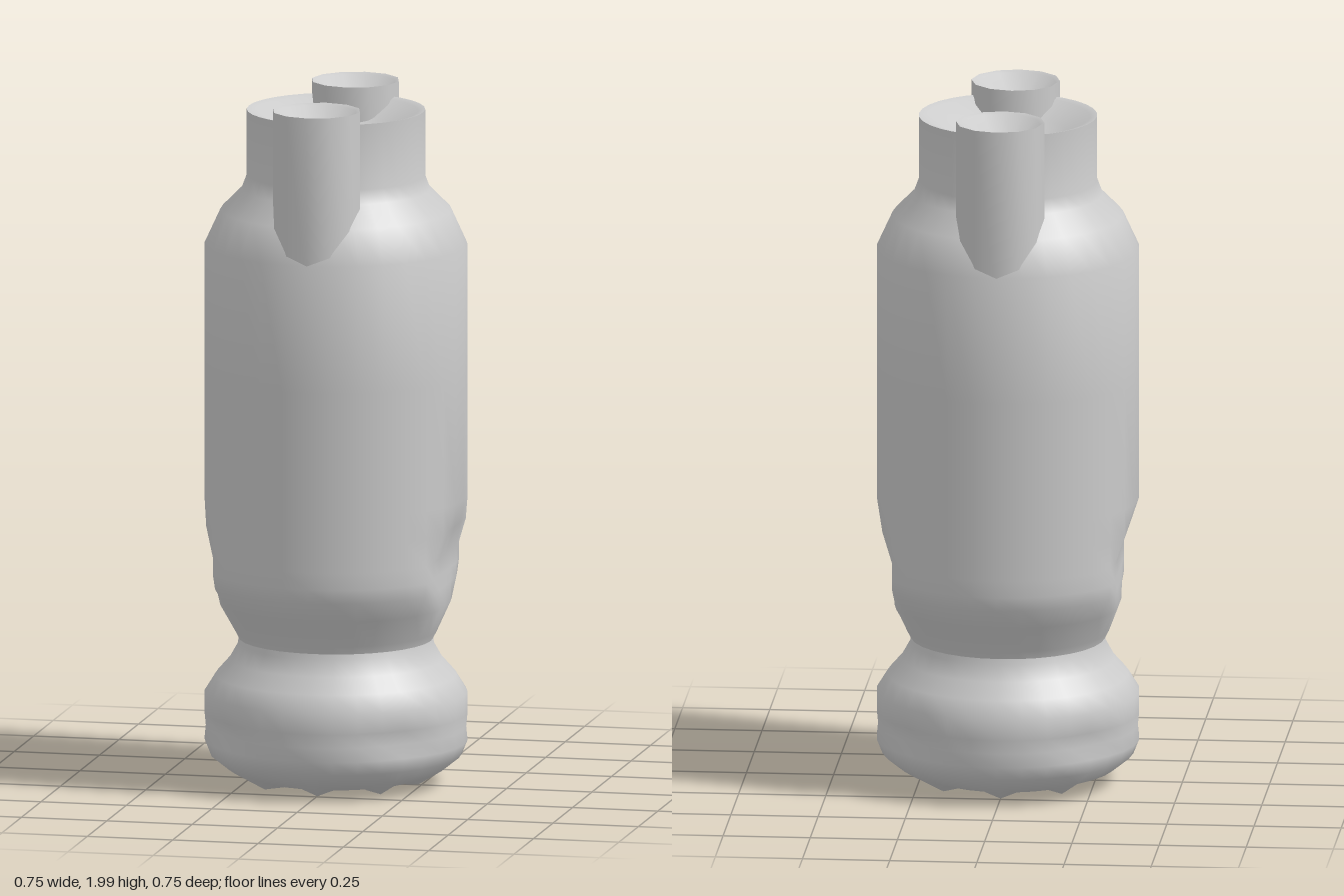
import * as THREE from 'three';
import { mergeVertices, toCreasedNormals } from 'three/addons/utils/BufferGeometryUtils.js';

const material = new THREE.MeshStandardMaterial({ color: 0xcccccc });

// Turned part from [radius, height] pairs listed bottom to top, optionally reshaped by a rule.
function turned(name, profile, sides, rule) {
  const points = profile.map(([r, y]) => new THREE.Vector2(r, y));
  let geometry = new THREE.LatheGeometry(points, sides);
  geometry.deleteAttribute('uv');
  geometry.deleteAttribute('normal');
  geometry = mergeVertices(geometry, 1e-4);
  if (rule) {
    const pos = geometry.attributes.position;
    const v = new THREE.Vector3();
    for (let i = 0; i < pos.count; i++) {
      rule(v.fromBufferAttribute(pos, i));
      pos.setXYZ(i, v.x, v.y, v.z);
    }
  }
  const mesh = new THREE.Mesh(toCreasedNormals(geometry, 0.9), material);
  mesh.name = name;
  return mesh;
}

// Flat thumb recesses low on the two sides of the body
function flattenSides(v) {
  if (v.y > 0.84 || v.y < 0.5) return;
  const t = THREE.MathUtils.clamp((0.84 - v.y) / 0.16, 0, 1);
  const limit = 0.375 - 0.055 * t;
  v.x = THREE.MathUtils.clamp(v.x, -limit, limit);
}

// Soft lobes on the foot: shallow diagonal dimples and small bumps underneath
function shapeFoot(v) {
  const r = Math.hypot(v.x, v.z);
  if (r < 0.01) return;
  const angle = Math.atan2(v.x, v.z);
  const diagonal = Math.pow(Math.abs(Math.sin(2 * angle)), 6);
  const dimple = diagonal * Math.exp(-(((v.y - 0.17) / 0.05) ** 2));
  const scale = 1 - 0.05 * dimple;
  v.x *= scale;
  v.z *= scale;
  if (v.y < 0.05 && r > 0.15) v.y -= 0.018 * Math.max(0, Math.cos(8 * angle));
}

export function createModel() {
  const model = new THREE.Group();
  model.name = 'canister';

  // Body with waist, shoulder, neck and a hollow top
  model.add(turned('body', [
    [0.26, 0.36], [0.275, 0.42], [0.29, 0.45], [0.335, 0.53], [0.37, 0.59], [0.376, 0.63],
    [0.376, 0.68], [0.376, 0.76], [0.376, 0.84], [0.376, 1.2], [0.376, 1.57],
    [0.33, 1.67], [0.27, 1.73], [0.255, 1.77], [0.255, 1.96],
    [0.235, 1.955], [0.17, 1.91], [0.09, 1.88], [0, 1.87],
  ], 32, flattenSides));

  // Bulbous foot
  model.add(turned('foot', [
    [0, 0.025], [0.16, 0.025], [0.24, 0.025], [0.31, 0.05], [0.36, 0.09], [0.376, 0.13],
    [0.372, 0.17], [0.376, 0.21], [0.376, 0.27], [0.345, 0.32], [0.305, 0.365],
    [0.28, 0.41], [0.275, 0.46],
  ], 32, shapeFoot));

  // Front and back tubes with dished ends
  for (const side of [1, -1]) {
    const tube = turned(side > 0 ? 'frontTube' : 'backTube', [
      [0.127, 1.5], [0.127, 2], [0.115, 1.995], [0.055, 1.945], [0, 1.945],
    ], 12);
    tube.position.z = side * 0.249;
    model.add(tube);
  }

  return model;
}
